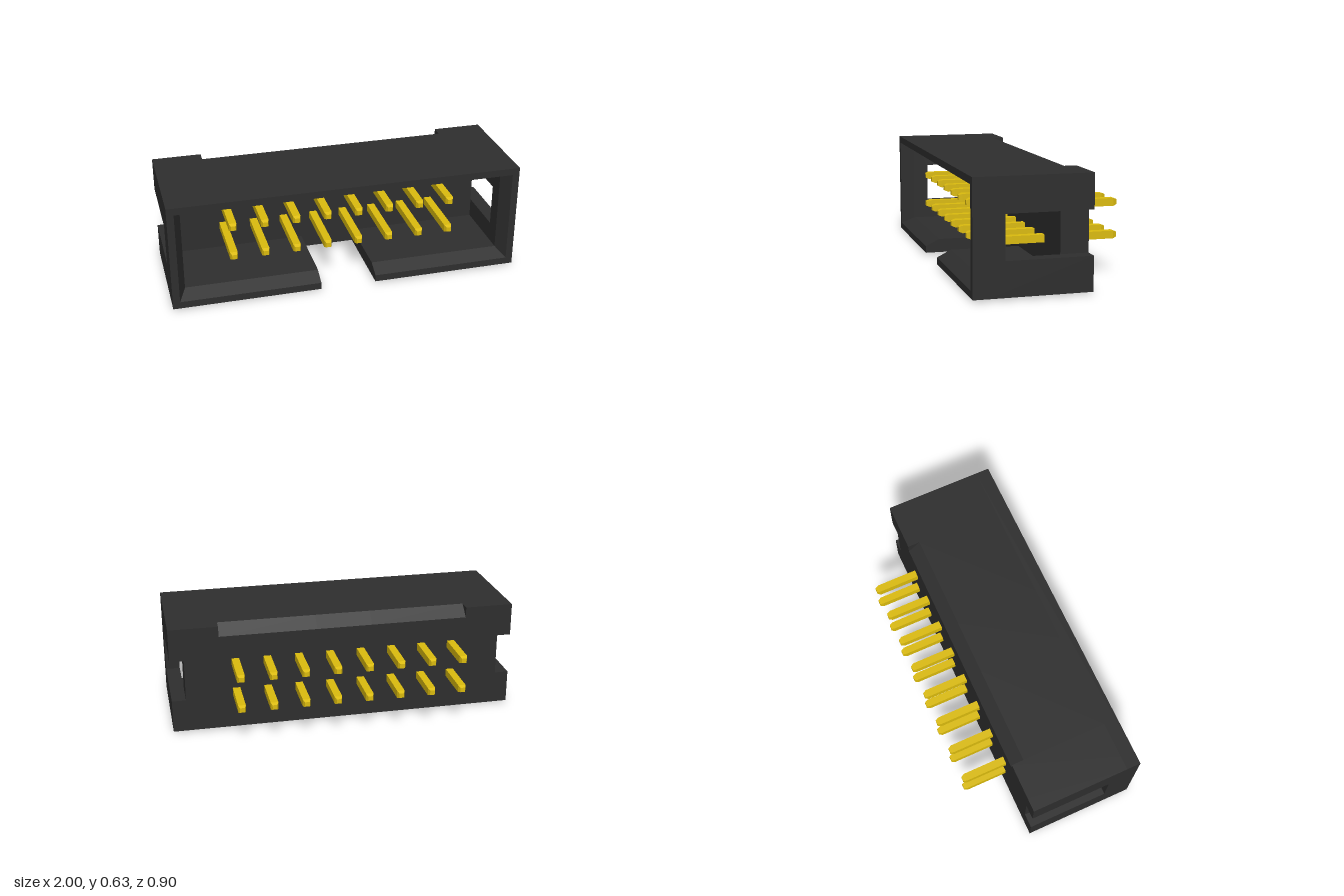
import * as THREE from 'three';

const black = new THREE.MeshStandardMaterial({ color: 0x2e2e2e, flatShading: true });
const gold = new THREE.MeshStandardMaterial({ color: 0xdcbc0e, flatShading: true });

// Body planes
const TOP = 0.63, BOTTOM = 0.01, BACK = -0.19, FRONT = 0.45;
const RIM = 0.37;                                  // where the mouth chamfer starts
const FLOOR = -0.035;                              // back of the cavity
const IN_X = 0.92, IN_TOP = 0.55, IN_BOTTOM = 0.09;
const LIP = 0.04;                                  // wall thickness at the mouth
const NOTCH_X = 0.16, SLOPE_X = 0.72;

export function createModel() {
  const model = new THREE.Group();
  const add = (name, geometry, material = black, parent = model) => {
    const mesh = new THREE.Mesh(geometry, material);
    mesh.name = name;
    parent.add(mesh);
    return mesh;
  };

  // Extrudes a [z, y] profile along x from x0 to x1
  const alongX = (points, x0, x1) => {
    const shape = new THREE.Shape(points.map(([z, y]) => new THREE.Vector2(-z, y)));
    return new THREE.ExtrudeGeometry(shape, { depth: x1 - x0, bevelEnabled: false })
      .rotateY(Math.PI / 2).translate(x0, 0, 0);
  };

  // Solid between two four-cornered [x, y] sections (counterclockwise from the front)
  const loft = (rear, front, z0, z1) => {
    const v = [...rear.map(p => [...p, z0]), ...front.map(p => [...p, z1])];
    const geometry = new THREE.BufferGeometry();
    geometry.setAttribute('position', new THREE.Float32BufferAttribute(v.flat(), 3));
    const index = [0, 2, 1, 0, 3, 2, 4, 5, 6, 4, 6, 7];
    for (let i = 0; i < 4; i++) {
      const j = (i + 1) % 4;
      index.push(i, j, j + 4, i, j + 4, i + 4);
    }
    geometry.setIndex(index);
    const flat = geometry.toNonIndexed();
    flat.computeVertexNormals();
    return flat;
  };

  // Cross-section of the shell: base, top wall and bottom wall
  const topWall = [[RIM, IN_TOP], [RIM, TOP]];
  const squareBack = [[BACK, TOP]];
  const slopedBack = [[-0.12, TOP], [BACK, 0.57]];
  const bottomWall = [[BACK, BOTTOM], [RIM, BOTTOM], [RIM, IN_BOTTOM], [FLOOR, IN_BOTTOM], [FLOOR, IN_TOP]];
  const keyNotch = [[BACK, BOTTOM], [-0.05, BOTTOM], [-0.05, 0.13], [FLOOR, 0.13], [FLOOR, IN_TOP]];
  const plain = [...topWall, ...squareBack, ...bottomWall];
  const sloped = [...topWall, ...slopedBack, ...bottomWall];
  // Side wall with a window that runs out to the back as a groove
  const sideWall = [[BACK, BOTTOM], [RIM, BOTTOM], [RIM, TOP], [BACK, TOP],
    [BACK, 0.44], [0.28, 0.44], [0.28, 0.2], [BACK, 0.2]];

  add('shellCentre', alongX([...topWall, ...slopedBack, ...keyNotch], -NOTCH_X, NOTCH_X));
  for (const [side, s] of [['left', 1], ['right', -1]]) {
    const span = (points, a, b) => alongX(points, Math.min(s * a, s * b), Math.max(s * a, s * b));
    add(side + 'ShellMiddle', span(sloped, NOTCH_X, SLOPE_X));
    add(side + 'ShellEnd', span(plain, SLOPE_X, IN_X));
    add(side + 'SideWall', span(sideWall, IN_X, 1));
  }

  // Chamfered mouth: mitred pieces that thin towards the front
  const rim = (name, section) =>
    add(name, loft(section(IN_X, IN_TOP, IN_BOTTOM),
      section(1 - LIP, TOP - LIP, BOTTOM + LIP), RIM, FRONT));
  rim('topRim', (x, t) => [[-x, t], [x, t], [1, TOP], [-1, TOP]]);
  for (const [side, s] of [['left', 1], ['right', -1]]) {
    const mirror = points => {
      const m = points.map(([x, y]) => [s * x, y]);
      return s > 0 ? m : m.reverse();
    };
    rim(side + 'Rim', (x, t, b) => mirror([[x, b], [1, BOTTOM], [1, TOP], [x, t]]));
    rim(side + 'BottomRim', (x, t, b) =>
      mirror([[NOTCH_X, BOTTOM], [1, BOTTOM], [x, b], [NOTCH_X, b]]));
  }

  // Raised triangle marking the first pin, on the underside
  const triangle = new THREE.Shape([[-0.7, 0.38], [-0.56, 0.38], [-0.63, 0.24]]
    .map(([x, z]) => new THREE.Vector2(x, -z)));
  add('firstPinMark', new THREE.ExtrudeGeometry(triangle, { depth: 0.015, bevelEnabled: false })
    .rotateX(-Math.PI / 2));

  // Two rows of square pins with tapered tips
  const h = 0.0215, tip = 0.02, z0 = -0.45, z1 = 0.35;
  const square = new THREE.Shape([[-h, -h], [h, -h], [h, h], [-h, h]]
    .map(([x, y]) => new THREE.Vector2(x, y)));
  const pinGeometry = new THREE.ExtrudeGeometry(square, {
    depth: z1 - z0 - 2 * tip, bevelThickness: tip, bevelSize: 0.008, bevelOffset: -0.008, bevelSegments: 1,
  }).translate(0, 0, z0 + tip);
  const pins = new THREE.Group();
  pins.name = 'pins';
  model.add(pins);
  for (const y of [0.231, 0.412]) {
    for (let i = 0; i < 8; i++) {
      add('pin', pinGeometry, gold, pins).position.set((i - 3.5) * 0.1805, y, 0);
    }
  }

  return model;
}
